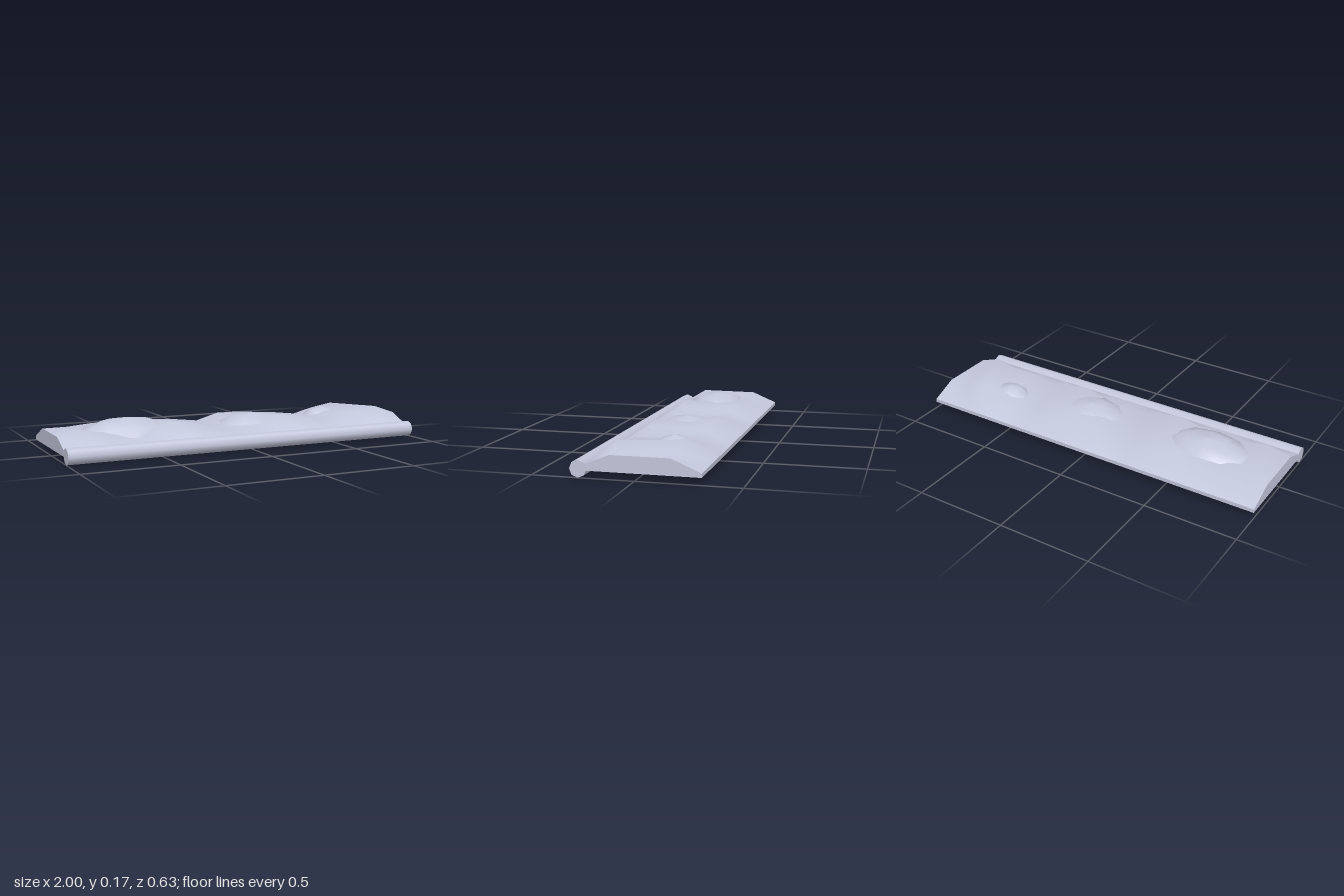
import * as THREE from 'three';

// Smooth surface through rows of points, each row running along +x
function strip(rows) {
  const n = rows[0].length;
  const index = [];
  for (let i = 0; i < rows.length - 1; i++) {
    for (let j = 0; j < n - 1; j++) {
      const a = i * n + j, b = a + 1, c = a + n, d = c + 1;
      index.push(a, b, c, b, d, c);
    }
  }
  const geo = new THREE.BufferGeometry();
  geo.setAttribute('position', new THREE.Float32BufferAttribute(rows.flat(2), 3));
  geo.setIndex(index);
  geo.computeVertexNormals();
  return geo;
}

export function createModel() {
  const group = new THREE.Group();
  const snow = new THREE.MeshStandardMaterial({ color: 0xc4c8dc });
  snow.name = 'pale snow';
  const add = (name, geo) => {
    const mesh = new THREE.Mesh(geo, snow);
    mesh.name = name;
    group.add(mesh);
    return mesh;
  };

  // Heights of the two uneven crests, one value per eighth of a unit
  const frontCrest = [0.115, 0.137, 0.115, 0.09, 0.115, 0.15, 0.133, 0.097, 0.095,
    0.112, 0.145, 0.135, 0.1, 0.122, 0.125, 0.158, 0.115];
  const backCrest = [0.115, 0.115, 0.125, 0.13, 0.13, 0.125, 0.115, 0.1, 0.135,
    0.135, 0.125, 0.115, 0.1, 0.13, 0.15, 0.118, 0.115];
  const row = (z, y) => frontCrest.map((_, i) => [-1 + i / 8, Array.isArray(y) ? y[i] : y, z]);
  const frontFoot = row(0.235, 0.035), frontTop = row(0.235, 0.067);
  const backTop = row(-0.313, 0.055), backFoot = row(-0.313, 0.035);

  // Drifted bank
  add('bankTop', strip([frontTop, row(0.12, frontCrest), row(-0.17, backCrest), backTop]));
  add('bankFront', strip([frontFoot, frontTop]));
  add('bankBack', strip([backTop, backFoot]));
  add('bankBottom', strip([backFoot, frontFoot]));

  // Flat ends of the bank
  const profile = [[0.235, 0.035], [0.235, 0.067], [0.12, 0.115],
    [-0.17, 0.115], [-0.313, 0.055], [-0.313, 0.035]];
  for (const side of [1, -1]) {
    const shape = new THREE.Shape(profile.map(([z, y]) => new THREE.Vector2(-side * z, y)));
    const end = add(side > 0 ? 'leftEnd' : 'rightEnd', new THREE.ShapeGeometry(shape));
    end.rotation.y = side * Math.PI / 2;
    end.position.x = side;
  }

  // Rounded front rail
  const rail = add('frontRail', new THREE.CylinderGeometry(0.042, 0.042, 2, 8).rotateZ(Math.PI / 2));
  rail.position.set(0, 0.042, 0.271);

  // Low mounds sunk into the bank: x, z, half width, half depth, top height
  const mounds = [
    [-0.59, -0.02, 0.31, 0.2, 0.168],
    [0.13, -0.015, 0.24, 0.2, 0.151],
    [0.63, -0.085, 0.15, 0.13, 0.147],
  ];
  for (const [x, z, w, d, top] of mounds) {
    const dome = [[1, 0.04], [0.74, top - 0.043], [0.4, top - 0.011], [0, top]]
      .map(([r, y]) => new THREE.Vector2(r, y));
    const mound = add('mound', new THREE.LatheGeometry(dome, 10));
    mound.scale.set(w, 1, d);
    mound.position.set(x, 0, z);
  }
  return group;
}
